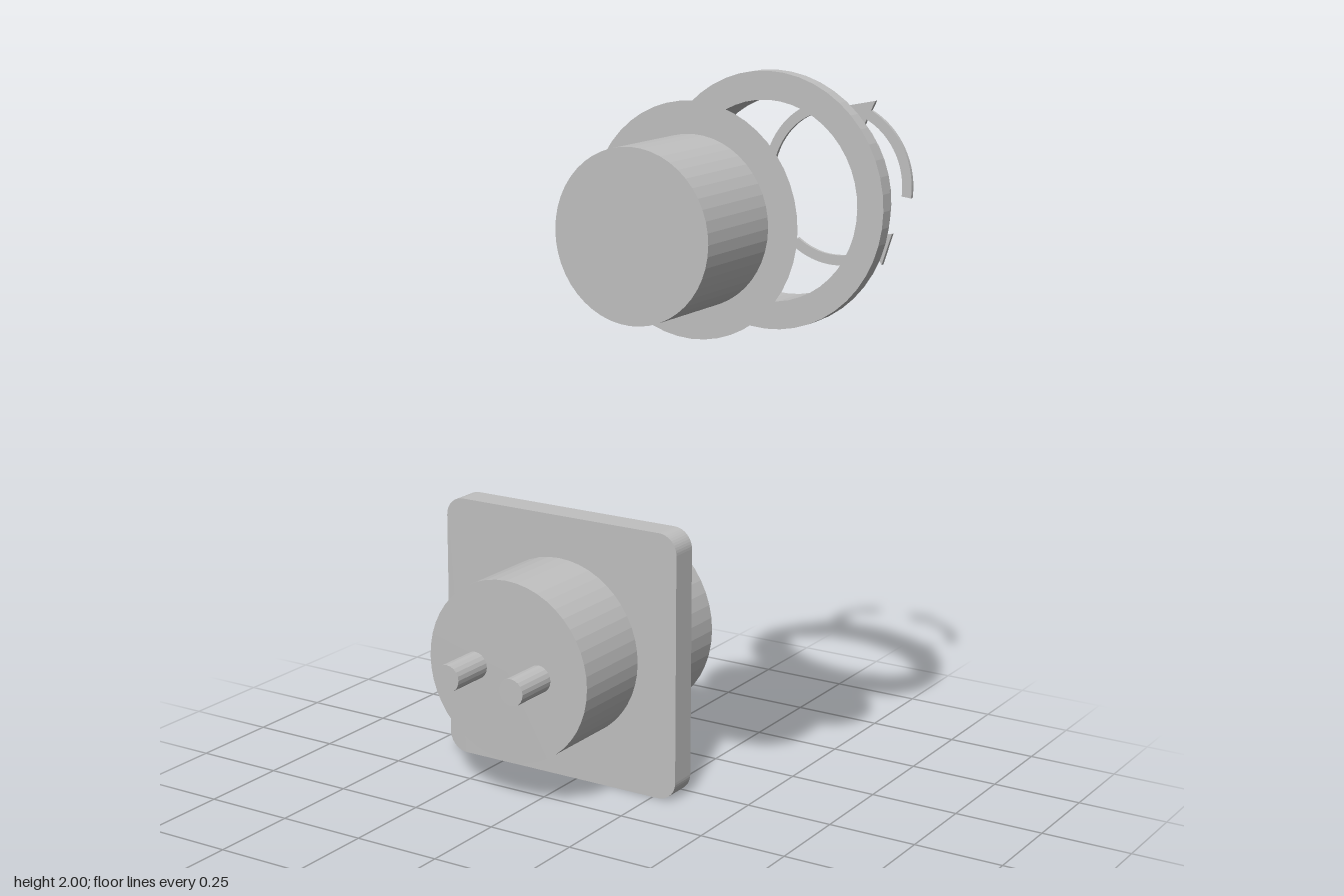
import * as THREE from 'three';

export function createModel() {
  const group = new THREE.Group();
  const grey = new THREE.MeshStandardMaterial({ color: 0xc0c0c0 });
  grey.name = 'plain grey';
  grey.flatShading = true;
  grey.side = THREE.DoubleSide;

  const SIDES = 48;
  const socket = new THREE.Group();
  socket.name = 'socketBody';
  socket.position.set(-0.305, 0.378, 0);
  const cover = new THREE.Group();
  cover.name = 'coverParts';
  cover.position.set(0.353, 1.677, 0);
  group.add(socket, cover);

  function add(parent, name, geometry) {
    const mesh = new THREE.Mesh(geometry, grey);
    mesh.name = name;
    parent.add(mesh);
    return mesh;
  }

  // Solid cylinder lying along z, from z0 to z1
  function rod(parent, name, x, r, z0, z1, sides = SIDES) {
    const g = new THREE.CylinderGeometry(r, r, z1 - z0, sides);
    g.rotateX(Math.PI / 2);
    g.translate(x, 0, (z0 + z1) / 2);
    return add(parent, name, g);
  }

  // Surface of revolution around z from [radius, z] points
  function turned(parent, name, points) {
    const g = new THREE.LatheGeometry(points.map(([r, z]) => new THREE.Vector2(r, z)), SIDES);
    g.rotateX(Math.PI / 2);
    return add(parent, name, g);
  }

  // Square mounting plate with rounded corners
  const h = 0.377, c = 0.055;
  const square = new THREE.Shape();
  square.absarc(h - c, h - c, c, 0, Math.PI / 2);
  square.absarc(-h + c, h - c, c, Math.PI / 2, Math.PI);
  square.absarc(-h + c, -h + c, c, Math.PI, Math.PI * 1.5);
  square.absarc(h - c, -h + c, c, Math.PI * 1.5, Math.PI * 2);
  square.closePath();
  const plate = new THREE.ExtrudeGeometry(square, { depth: 0.08, bevelEnabled: false, curveSegments: 6 });
  plate.translate(0, 0, -0.24);
  add(socket, 'mountingPlate', plate);

  // Housings on both sides of the plate, and the two contact pins
  rod(socket, 'frontHousing', 0, 0.256, -0.16, 0.09);
  rod(socket, 'rearHousing', 0, 0.283, -0.51, -0.24);
  rod(socket, 'rightPin', -0.105, 0.038, 0.09, 0.22, 20);
  rod(socket, 'leftPin', 0.102, 0.038, 0.09, 0.22, 20);

  // Thin-walled cap: closed front, open back with a flat rim
  turned(cover, 'capShell', [[0.285, 0.24], [0.207, 0.24], [0.207, 0.513], [0, 0.513]]);

  // Stepped retaining ring
  turned(cover, 'retainingRing', [
    [0.252, -0.24], [0.285, -0.24], [0.285, -0.16], [0.323, -0.16],
    [0.323, -0.122], [0.252, -0.122], [0.252, -0.24],
  ]);

  // Three curved arrows showing the turning direction
  const rad = THREE.MathUtils.degToRad;
  const tail = rad(-6), neck = rad(64), tip = rad(84);
  const polar = (r, a) => [r * Math.cos(a), r * Math.sin(a)];
  const arrow = new THREE.Shape();
  arrow.absarc(0, 0, 0.217, tail, neck);
  arrow.lineTo(...polar(0.245, neck));
  arrow.lineTo(...polar(0.203, tip));
  arrow.lineTo(...polar(0.162, neck));
  arrow.lineTo(...polar(0.19, neck));
  arrow.absarc(0, 0, 0.19, neck, tail, true);
  arrow.closePath();
  for (let i = 0; i < 3; i++) {
    const g = new THREE.ExtrudeGeometry(arrow, { depth: 0.01, bevelEnabled: false, curveSegments: 12 });
    g.translate(0, 0, -0.5);
    g.rotateZ((i * Math.PI * 2) / 3);
    add(cover, 'turnArrow' + (i + 1), g);
  }

  return group;
}
